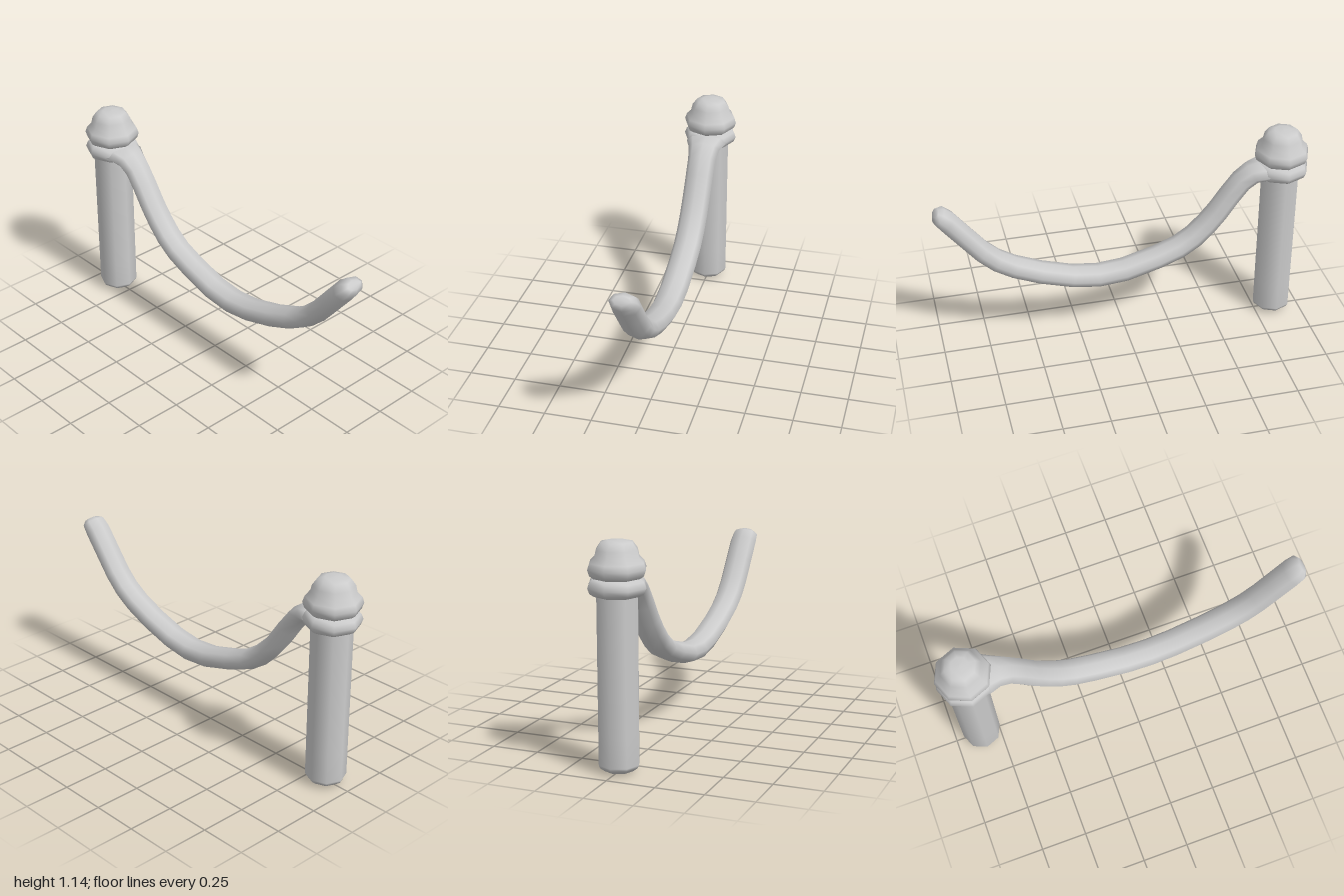
import * as THREE from 'three';

const SIDES = 8;
const POST_Z = -0.85;
const material = new THREE.MeshStandardMaterial({ color: 0xcccccc });

// Eight-sided turned part around the post axis, profile as [radius, y] from bottom to top
function turned(name, profile) {
  const points = profile.map(([r, y]) => new THREE.Vector2(r, y));
  const mesh = new THREE.Mesh(new THREE.LatheGeometry(points, SIDES), material);
  mesh.name = name;
  mesh.position.z = POST_Z;
  return mesh;
}

// Loft of octagonal sections along a path in the YZ plane: [z, y, half width, half thickness]
function loft(sections) {
  const positions = [], index = [];
  const last = sections.length - 1;
  sections.forEach(([z, y, w, t], i) => {
    const a = sections[Math.max(i - 1, 0)], b = sections[Math.min(i + 1, last)];
    const dz = b[0] - a[0], dy = b[1] - a[1], len = Math.hypot(dz, dy);
    const nz = dy / len, ny = -dz / len; // in-plane normal, pointing up for a path running to -z
    for (let j = 0; j < SIDES; j++) {
      const angle = (j / SIDES) * Math.PI * 2;
      const s = Math.sin(angle) * t;
      positions.push(Math.cos(angle) * w, y + ny * s, z + nz * s);
    }
  });
  for (let i = 0; i < last; i++) {
    for (let j = 0; j < SIDES; j++) {
      const a = i * SIDES + j, b = i * SIDES + (j + 1) % SIDES;
      index.push(a, a + SIDES, b, b, a + SIDES, b + SIDES);
    }
  }
  // end caps
  for (let j = 1; j < SIDES - 1; j++) {
    const e = last * SIDES;
    index.push(0, j, j + 1, e, e + j + 1, e + j);
  }
  const geometry = new THREE.BufferGeometry();
  geometry.setAttribute('position', new THREE.Float32BufferAttribute(positions, 3));
  geometry.setIndex(index);
  geometry.computeVertexNormals();
  return geometry;
}

export function createModel() {
  const group = new THREE.Group();
  group.name = 'hookOnPost';

  // Upright post with bevelled foot
  group.add(turned('post', [
    [0, 0.003], [0.075, 0.012], [0.098, 0.03], [0.105, 0.045], [0.105, 0.2], [0.105, 0.7], [0.105, 0.95],
  ]));

  // Collar that carries the arm
  group.add(turned('collar', [
    [0.09, 0.872], [0.115, 0.875], [0.138, 0.89], [0.149, 0.917], [0.138, 0.945], [0.118, 0.96], [0.08, 0.962],
  ]));

  // Bulging cap on top of the post
  group.add(turned('cap', [
    [0.08, 0.955], [0.118, 0.96], [0.138, 0.975], [0.148, 1.005], [0.138, 1.035],
    [0.113, 1.06], [0.105, 1.095], [0.08, 1.13], [0.045, 1.138], [0, 1.14],
  ]));

  // Long sagging arm, from the free tip back into the collar
  const arm = new THREE.Mesh(loft([
    [0.984, 0.897, 0.045, 0.025], [0.968, 0.882, 0.072, 0.047], [0.93, 0.843, 0.077, 0.055],
    [0.85, 0.742, 0.077, 0.055], [0.765, 0.635, 0.077, 0.055], [0.69, 0.564, 0.077, 0.055],
    [0.6, 0.508, 0.077, 0.055], [0.46, 0.448, 0.077, 0.055], [0.29, 0.396, 0.077, 0.055],
    [0.147, 0.376, 0.077, 0.057], [0, 0.389, 0.077, 0.057], [-0.18, 0.441, 0.077, 0.056],
    [-0.3, 0.489, 0.077, 0.056], [-0.38, 0.543, 0.077, 0.056], [-0.45, 0.612, 0.077, 0.055],
    [-0.51, 0.685, 0.077, 0.054], [-0.575, 0.779, 0.077, 0.053], [-0.635, 0.857, 0.078, 0.052],
    [-0.69, 0.9, 0.088, 0.048], [-0.745, 0.916, 0.112, 0.044], [-0.8, 0.917, 0.115, 0.035],
  ]), material);
  arm.name = 'arm';
  group.add(arm);

  return group;
}
